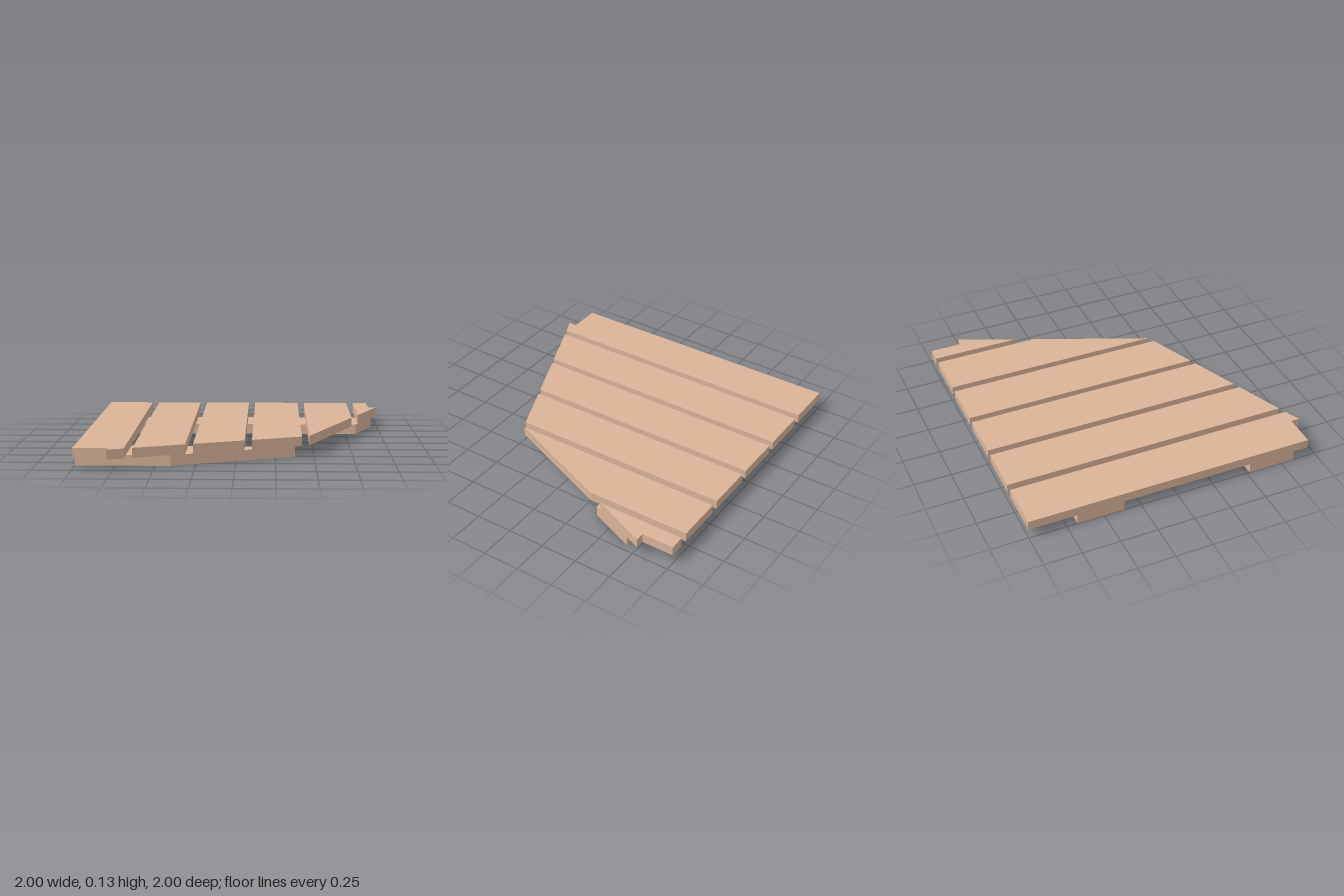
import * as THREE from 'three';

const wood = new THREE.MeshStandardMaterial({ color: 0xdab499 });

// Depth (z) of the broken front edge at a given x: a shallow cut, then a steep one
const frontCut = (x) => 0.675 - 0.411 * x;
const sideCut = (x) => 1.592 - 2.377 * x;

// Flat board: a floor outline of [x, z] points raised from y0 to y1
function board(name, outline, y0, y1) {
  const shape = new THREE.Shape(outline.map(([x, z]) => new THREE.Vector2(x, -z)));
  const geometry = new THREE.ExtrudeGeometry(shape, { depth: y1 - y0, bevelEnabled: false });
  geometry.rotateX(-Math.PI / 2);
  geometry.translate(0, y0, 0);
  const mesh = new THREE.Mesh(geometry, wood);
  mesh.name = name;
  return mesh;
}

export function createModel() {
  const model = new THREE.Group();
  model.name = 'brokenPlankPanel';
  const bottom = 0, joint = 0.068, top = 0.13;
  const plank = (name, outline) => model.add(board(name, outline, joint, top));
  const batten = (name, outline) => model.add(board(name, outline, bottom, joint));

  // Outer plank, with a small step where the cut begins
  plank('outerPlank', [[-1, -1], [-0.682, -1], [-0.682, frontCut(-0.682)],
    [-0.783, 1], [-0.783, 0.942], [-1, 0.942]]);

  // Middle planks, ended by the shallow cut
  [[-0.632, -0.315], [-0.267, 0.053], [0.1, 0.421]].forEach(([a, b], i) =>
    plank(`middlePlank${i + 1}`, [[a, -1], [b, -1], [b, frontCut(b)], [a, frontCut(a)]]));

  // Plank ended by the steep cut
  plank('steepCutPlank', [[0.47, -1], [0.79, -1], [0.79, sideCut(0.79)], [0.47, sideCut(0.47)]]);

  // Narrow leftover plank with a pointed side
  plank('brokenPlank', [[0.84, -1], [0.942, -1], [0.942, -0.783], [1, -0.783], [0.84, sideCut(0.84)]]);

  // Cross battens underneath
  batten('backBatten', [[-1, -0.68], [0.955, -0.68], [0.823, -0.363], [-1, -0.363]]);
  batten('frontBatten', [[-1, 0.52], [0.377, 0.52], [-0.405, 0.841], [-1, 0.841]]);

  return model;
}
